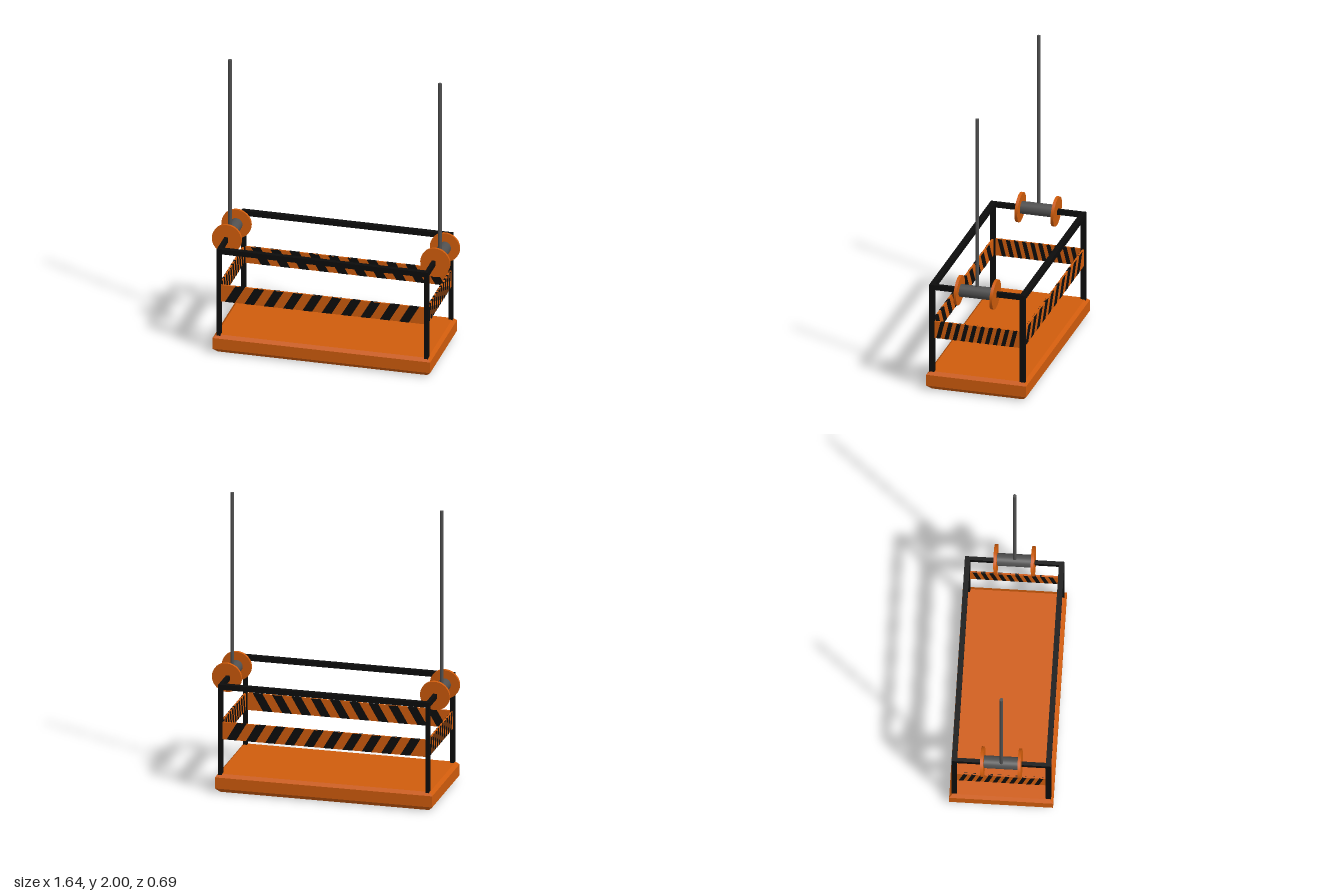
import * as THREE from 'three';

const mat = (color, flatShading = false) => new THREE.MeshStandardMaterial({ color, flatShading });
const orange = mat(0xd05c0c, true);
const black = mat(0x0c0c0c, true);
const disc = mat(0xd05c0c);
const steel = mat(0x505050);

// frame centre in x and half distances to the post centres
const CX = -0.007, HX = 0.715, HZ = 0.314;

function add(parent, name, geometry, material, x = 0, y = 0, z = 0) {
  const mesh = new THREE.Mesh(geometry, material);
  mesh.name = name;
  mesh.position.set(x, y, z);
  parent.add(mesh);
  return mesh;
}

// Box whose four height rings are moved to make chamfered edges
function platformGeometry() {
  const rings = [[0, 0.72, 0.318], [0.03, 0.75, 0.347], [0.108, 0.75, 0.347], [0.13, 0.728, 0.325]];
  const geo = new THREE.BoxGeometry(2, 3, 2, 1, 3, 1).toNonIndexed();
  const p = geo.attributes.position;
  for (let i = 0; i < p.count; i++) {
    const [y, hx, hz] = rings[Math.round(p.getY(i) + 1.5)];
    p.setXYZ(i, Math.sign(p.getX(i)) * hx, y, Math.sign(p.getZ(i)) * hz);
  }
  geo.computeVertexNormals();
  return geo;
}

// Hazard board facing +z, with ten slanted stripes showing on both sides
function hazardBoard(name, length) {
  const board = new THREE.Group();
  board.name = name;
  const h = 0.12, t = 0.012;
  add(board, 'boardPanel', new THREE.BoxGeometry(length, h, t), orange);
  const w = 0.0475 * length, slant = 0.05 * length;
  const shape = new THREE.Shape([
    new THREE.Vector2(0, -h / 2), new THREE.Vector2(w, -h / 2),
    new THREE.Vector2(w + slant, h / 2), new THREE.Vector2(slant, h / 2),
  ]);
  const stripe = new THREE.ExtrudeGeometry(shape, { depth: t + 0.003, bevelEnabled: false });
  stripe.translate(0, 0, -(t + 0.003) / 2);
  for (let i = 0; i < 10; i++) add(board, 'boardStripe', stripe, black, (0.02 + 0.095 * i - 0.5) * length);
  return board;
}

// Cable drum: a barrel between two slightly tilted flanges, and its cable
function winch(name, x, cableX) {
  const g = new THREE.Group();
  g.name = name;
  const barrel = new THREE.CylinderGeometry(0.043, 0.043, 0.24, 32).rotateX(Math.PI / 2);
  const flange = new THREE.CylinderGeometry(0.102, 0.102, 0.02, 40).rotateX(Math.PI / 2);
  add(g, 'drumBarrel', barrel, steel, x, 0.742, 0);
  for (const s of [-1, 1]) {
    add(g, 'drumFlange', flange, disc, x, 0.742, s * 0.125).rotation.x = -0.055;
  }
  add(g, 'cable', new THREE.CylinderGeometry(0.0125, 0.0125, 1.26, 16), steel, cableX, 1.37, 0);
  return g;
}

export function createModel() {
  const model = new THREE.Group();
  model.name = 'suspendedPlatform';

  add(model, 'platform', platformGeometry(), orange, -0.01, 0, 0);

  // Guard frame: posts, long rails and end rails
  const frame = new THREE.Group();
  frame.name = 'guardFrame';
  model.add(frame);
  const pw = 0.026, pd = 0.036, railY = 0.74, railH = 0.035;
  for (const s of [-1, 1]) {
    for (const k of [-1, 1]) {
      add(frame, 'post', new THREE.BoxGeometry(pw, 0.63, pd), black, CX + s * HX, 0.4075, k * HZ);
    }
    add(frame, 'longRail', new THREE.BoxGeometry(2 * HX + pw, railH, pd), black, CX, railY, s * HZ);
    add(frame, 'endRail', new THREE.BoxGeometry(pw, railH, 2 * HZ - pd), black, CX + s * HX, railY, 0);
  }

  // Hazard boards on all four sides
  for (let i = 0; i < 4; i++) {
    const long = i % 2 === 0;
    const angle = i * Math.PI / 2;
    const board = hazardBoard(['frontBoard', 'leftBoard', 'backBoard', 'rightBoard'][i],
      long ? 2 * HX - pw : 2 * HZ - pd);
    board.rotation.y = angle;
    board.position.set(CX + Math.sin(angle) * HX, 0.432, Math.cos(angle) * HZ);
    model.add(board);
  }

  model.add(winch('rightWinch', -0.72, -0.732), winch('leftWinch', 0.717, 0.715));
  return model;
}
